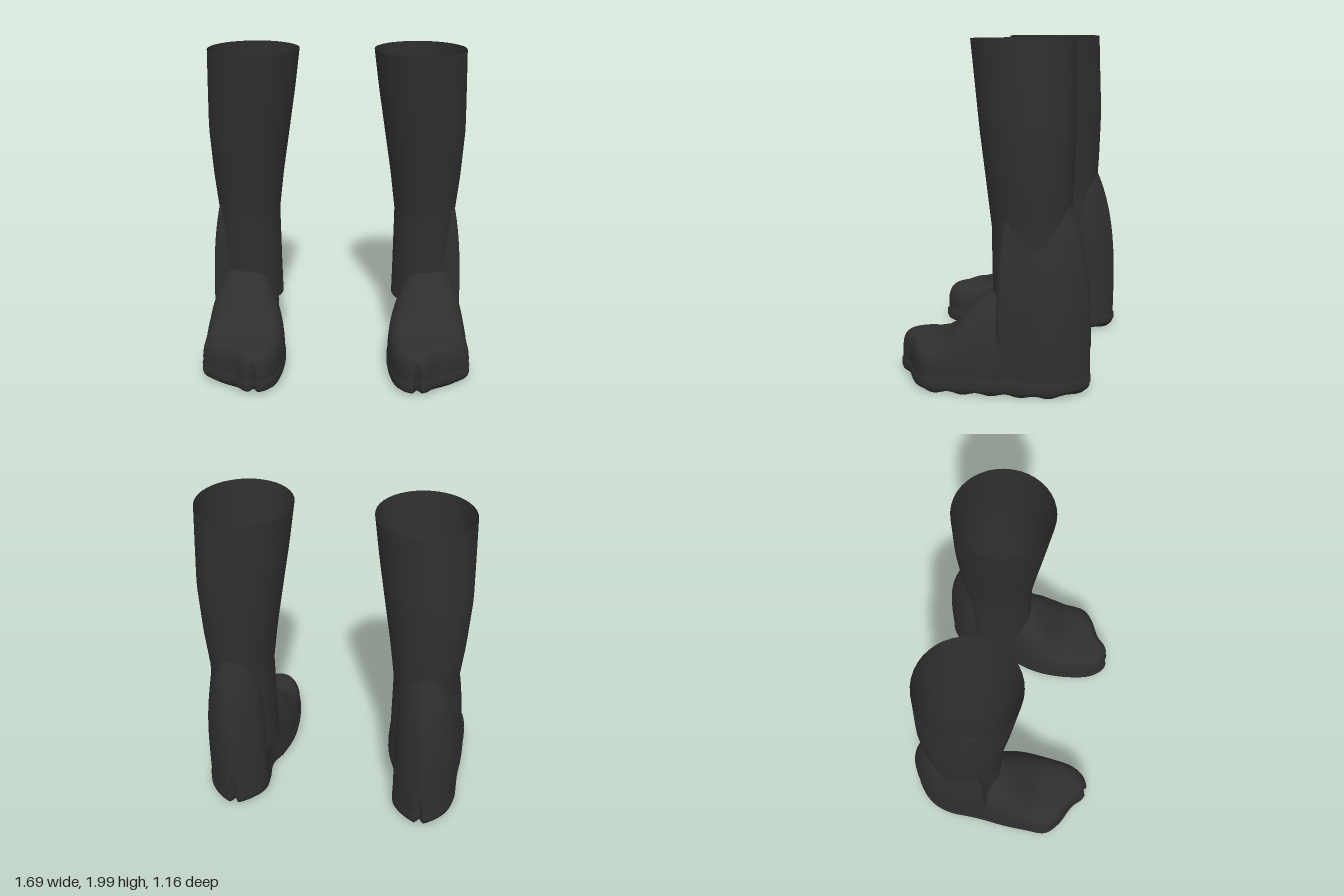
import * as THREE from 'three';

const rubber = new THREE.MeshStandardMaterial({ color: 0x2f2f2f, side: THREE.DoubleSide });
rubber.name = 'black rubber';

const V = (x, y, z) => new THREE.Vector3(x, y, z);
const mix = THREE.MathUtils.lerp;

// Linear lookup in rows sorted by their first value
function lookup(rows, k) {
  if (k <= rows[0][0]) return rows[0].slice(1);
  for (let i = 1; i < rows.length; i++) {
    const a = rows[i - 1], b = rows[i];
    if (k <= b[0]) return a.slice(1).map((v, n) => mix(v, b[n + 1], (k - a[0]) / (b[0] - a[0])));
  }
  return rows[rows.length - 1].slice(1);
}

// Footprint, from the outer side around the toe, inner waist and heel
const footprint = new THREE.CatmullRomCurve3([
  [0.82, -0.1], [0.835, 0.05], [0.84, 0.2], [0.835, 0.35], [0.76, 0.43], [0.62, 0.505],
  [0.55, 0.57], [0.49, 0.585], [0.43, 0.565], [0.37, 0.49], [0.34, 0.38], [0.325, 0.2],
  [0.34, 0.05], [0.38, -0.08], [0.42, -0.18], [0.41, -0.32], [0.42, -0.43], [0.5, -0.53],
  [0.6, -0.585], [0.69, -0.54], [0.77, -0.45], [0.81, -0.33], [0.815, -0.2],
].map(([x, z]) => V(x, 0, z)), true).getPoints(240).slice(0, 240);
const mid = V(0.59, 0, 0);
const inset = (p, s) => V(mix(mid.x, p.x, s), 0, mix(mid.z, p.z, s));

// Shaft rings: height, inner x, outer x, back z, front z
const shaftRows = [
  [0.35, 0.365, 0.775, -0.45, -0.01], [0.6, 0.37, 0.77, -0.45, -0.005],
  [0.95, 0.375, 0.77, -0.45, 0], [1.2, 0.345, 0.795, -0.465, 0.03],
  [1.5, 0.3, 0.812, -0.475, 0.07], [1.75, 0.262, 0.805, -0.467, 0.1], [2, 0.23, 0.797, -0.46, 0.13],
];
function shaftPoint(y, angle, scale = 1) {
  const [x0, x1, z0, z1] = lookup(shaftRows, y);
  return V((x0 + x1) / 2 + (x1 - x0) / 2 * scale * Math.cos(angle), y,
    (z0 + z1) / 2 + (z1 - z0) / 2 * scale * Math.sin(angle));
}

// Height of the instep along z
const instep = [[-0.1, 0.64], [-0.05, 0.605], [0, 0.572], [0.04, 0.55], [0.08, 0.515], [0.12, 0.47],
  [0.16, 0.42], [0.2, 0.37], [0.24, 0.33], [0.3, 0.296], [0.36, 0.282], [0.58, 0.278]];

// Narrow vertical grooves at the toe and the heel
function groove(p) {
  const cut = (x, w, h) => Math.max(0, 1 - Math.abs(p.x - x) / w) * Math.max(0, 1 - p.y / h) ** 0.5;
  if (p.z > 0.5) p.z -= 0.05 * cut(0.5, 0.028, 0.22);
  if (p.z < -0.52) p.z += 0.05 * cut(0.6, 0.028, 0.24);
  return p;
}

// Surface from a grid of points, mirrored for side -1
function surface(name, side, around, up, point, closed) {
  const pos = [], index = [];
  for (let j = 0; j < up; j++)
    for (let i = 0; i < around; i++) {
      const p = point(i, j);
      pos.push(p.x * side, p.y, p.z);
    }
  for (let j = 0; j < up - 1; j++)
    for (let i = 0; i < (closed ? around : around - 1); i++) {
      const n = (i + 1) % around;
      const a = j * around + i, b = j * around + n, c = a + around, d = b + around;
      if (side > 0) index.push(a, c, b, b, c, d);
      else index.push(a, b, c, b, d, c);
    }
  const g = new THREE.BufferGeometry();
  g.setAttribute('position', new THREE.Float32BufferAttribute(pos, 3));
  g.setIndex(index);
  g.computeVertexNormals();
  const mesh = new THREE.Mesh(g, rubber);
  mesh.name = name;
  return mesh;
}

function makeBoot(side) {
  const boot = new THREE.Group();
  boot.name = side > 0 ? 'leftBoot' : 'rightBoot';

  // Open shaft
  boot.add(surface('shaft', side, 40, 23,
    (i, j) => shaftPoint(0.35 + 1.65 * j / 22, i / 40 * Math.PI * 2), true));

  // Sole with a wavy tread underneath and the insole on top
  const soleRings = [[0, 0], [0.25, 0], [0.5, 0], [0.75, 0], [0.94, 0], [0.985, 0.03],
    [1, 0.05], [1, 0.092], [0.98, 0.1], [0.6, 0.1], [0, 0.1]];
  boot.add(surface('sole', side, 240, soleRings.length, (i, j) => {
    const [s, y] = soleRings[j];
    const p = inset(footprint[i], s);
    p.y = y || 0.014 + 0.007 * Math.sin(p.z * 38);
    return s > 0.9 ? groove(p) : p;
  }, true));

  // Vamp arching from the sole edge to the instep line
  const last = footprint.findIndex(p => p.z < -0.105);
  const front = footprint.slice(0, last);
  boot.add(surface('vamp', side, front.length, 17, (i, j) => {
    const p = inset(front[i], 0.985);
    const a = j / 16 * Math.PI / 2;
    const n = lookup([[-0.1, 2.3], [0.1, 2.6], [0.4, 4]], p.z)[0];
    const k = j === 16 ? 0 : Math.cos(a) ** (2 / n), h = Math.sin(a) ** (2 / n);
    const zs = Math.min(p.z, 0.4);
    const xs = mix(0.6, 0.55, (zs + 0.1) / 0.5);
    const z = mix(zs, p.z, k);
    return groove(V(mix(xs, p.x, k), mix(0.08, lookup(instep, z)[0], h), z));
  }, false));

  // Heel counter: x, rim height and z, leaning in to meet the shaft
  const rim = new THREE.CatmullRomCurve3([
    [0.39, 0.42, -0.1], [0.42, 0.45, -0.19], [0.412, 0.8, -0.32], [0.425, 1, -0.43],
    [0.5, 1.07, -0.525], [0.6, 1.09, -0.58], [0.69, 1.07, -0.535], [0.765, 0.98, -0.445],
    [0.805, 0.87, -0.33], [0.81, 0.93, -0.2], [0.81, 1.02, -0.09], [0.75, 0.8, -0.06], [0.68, 0.63, -0.04],
  ].map(p => V(...p))).getPoints(160);
  boot.add(surface('heelCounter', side, rim.length, 17, (i, j) => {
    const r = rim[i], t = j / 16;
    const y = mix(0.08, r.y, t), lean = t ** 3.5;
    const top = shaftPoint(r.y, Math.atan2(r.z + 0.225, r.x - 0.572), 0.98);
    return groove(V(mix(r.x, top.x, lean), y, mix(r.z, top.z, lean)));
  }, false));

  return boot;
}

export function createModel() {
  const model = new THREE.Group();
  model.name = 'pairOfBoots';
  model.add(makeBoot(1), makeBoot(-1));
  return model;
}
